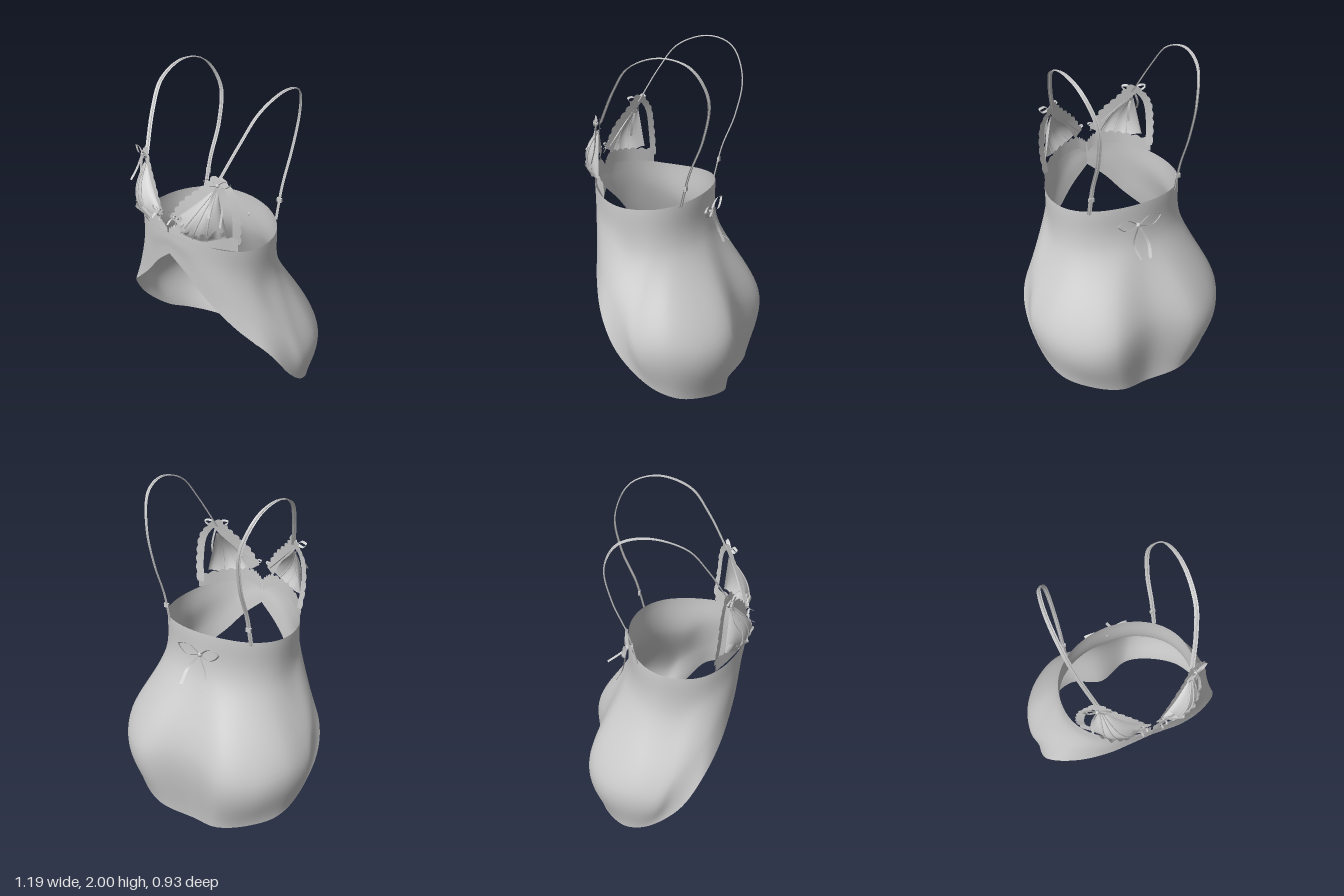
import * as THREE from 'three';
import { ParametricGeometry } from 'three/addons/geometries/ParametricGeometry.js';

const V = (p) => new THREE.Vector3(...p);
const cloth = new THREE.MeshStandardMaterial({ color: 0xcccccc, side: THREE.DoubleSide });
const curveOf = (pts) => new THREE.CatmullRomCurve3(pts.map(V));

function surface(name, fn, nu, nv) {
  const mesh = new THREE.Mesh(new ParametricGeometry(fn, nu, nv), cloth);
  mesh.name = name;
  return mesh;
}

// Flat strip along a path; its width runs along dir, with optional scalloped edge
function ribbon(name, pts, width, dir, scallops = 0) {
  const curve = curveOf(pts), d = V(dir).normalize();
  return surface(name, (u, v, t) => {
    const edge = scallops && v > 0.5 ? 0.75 + 0.35 * Math.abs(Math.sin(u * Math.PI * scallops)) : 1;
    t.copy(curve.getPoint(u)).addScaledVector(d, width * (v - 0.5) * edge);
  }, 64, 2);
}

function tube(name, pts, r) {
  const mesh = new THREE.Mesh(new THREE.TubeGeometry(curveOf(pts), 48, r, 6), cloth);
  mesh.name = name;
  return mesh;
}

// Bow with two loops, a knot and two uneven tails
function bow(name, size, width, tail) {
  const g = new THREE.Group();
  g.name = name;
  for (const s of [-1, 1]) {
    const loop = [[0, 0, 0], [0.5, 0.38, 0.06], [1, 0.3, 0.1], [0.6, -0.08, 0.12], [0, 0, 0.05]];
    g.add(ribbon('bowLoop', loop.map(([x, y, z]) => [s * x * size, y * size, z * size]), width, [0, 0.6, 0.8]));
    const long = s > 0 ? 1 : 0.7, lift = s > 0 ? 0.5 : 0.95;
    const end = [[0, 0, 0.03], [0.4, -0.6 * long, lift * 0.4], [0.35, -long, lift]];
    g.add(ribbon('bowTail', end.map(([x, y, z]) => [s * x * size, y * tail, z * size]), width, [1, 0, s * 0.5]));
  }
  const knot = new THREE.Mesh(new THREE.SphereGeometry(width * 0.8, 10, 8), cloth);
  knot.name = 'bowKnot';
  g.add(knot);
  return g;
}

// Hem and hip points of the skirt, front centre to back centre
const hem = [[0, 1.13, .415], [.11, 1.03, .395], [.22, .9, .365], [.38, .74, .3], [.53, .59, .2], [.58, .39, .07],
  [.55, .22, -.1], [.5, .15, -.23], [.36, .1, -.35], [.2, .06, -.41], [0, 0, -.36]];
const hip = [[0, 1.18, .42], [.12, 1.11, .4], [.24, 1, .36], [.365, .88, .285], [.465, .76, .195], [.545, .62, .07],
  [.592, .48, -.04], [.56, .47, -.21], [.44, .43, -.38], [.27, .45, -.465], [0, .5, -.415]];

// Oval rib from top edge through waist and hip to hem
function rib(i, s) {
  const a = (i / 10) * Math.PI, c = Math.cos(a);
  const x = 0.387 * Math.sin(a), z = 0.1 + 0.33 * (c > 0 ? c : -Math.pow(-c, 0.85));
  const y = 1.19 + (c > 0 ? 0.085 * c * c : 0.03 * c * c);
  const drop = Math.min(0.24, 0.3 * (y - hem[i][1]));
  return curveOf([[x, y, z], [x * 1.03, y - drop, z - 0.06 * drop], hip[i], hem[i]].map(([px, py, pz]) => [s * px, py, pz]));
}

// Open loop of ribs meeting in a sharp point at the front centre
function skirt() {
  const ribs = Array.from({ length: 21 }, (_, k) => (k <= 10 ? rib(k, -1) : rib(20 - k, 1)));
  const rows = new Map();
  const row = (v) => {
    if (!rows.has(v)) rows.set(v, new THREE.CatmullRomCurve3(ribs.map((c) => c.getPoint(v))));
    return rows.get(v);
  };
  return surface('skirt', (u, v, t) => {
    t.copy(row(v).getPoint(u));
    // soft folds at the flanks, fading towards the top
    const side = Math.pow(Math.sin(u * Math.PI * 2), 4);
    t.x *= 1 + 0.004 * side * v * Math.cos((u - 0.5) * 80 + v * 3);
  }, 120, 40);
}

// One cup with lace edges, seams, bow and shoulder strap; s = 1 left, -1 right
function cupSide(s) {
  const g = new THREE.Group();
  g.name = s > 0 ? 'leftCup' : 'rightCup';
  const m = (pts) => pts.map(([x, y, z]) => [s * x, y, z]);
  const base = curveOf(m([[.05, 1.37, .405], [.1, 1.31, .39], [.2, 1.285, .35], [.31, 1.31, .3]]));
  const apex = V([s * .255, 1.58, .32]), out = V([s * .35, 0, .93]);
  const cupPoint = (u, v, t, lift = 0) => {
    const bulge = 0.075 * Math.sqrt(Math.abs(Math.sin(Math.PI * u))) * Math.sin(Math.PI * (0.2 + 0.8 * v));
    const pleat = 0.003 * Math.cos(u * Math.PI * 6) * (1 - v);
    return t.copy(base.getPoint(u)).lerp(apex, v * 0.9).addScaledVector(out, bulge + pleat + lift);
  };
  const across = (u) => (s > 0 ? u : 1 - u);
  g.add(surface('cupPanel', (u, v, t) => cupPoint(across(u), v, t), 40, 20));
  for (const u of [.3, .52, .75]) {
    const pts = [0, .25, .5, .75, 1].map((v) => cupPoint(u, v, new THREE.Vector3(), .003).toArray());
    g.add(tube('cupSeam', pts, .004));
  }
  // ruffle across the lower cup
  g.add(surface('cupRuffle', (u, v, t) => {
    cupPoint(across(u), .05 + .16 * v, t, .004 + .008 * v + .006 * v * Math.sin(u * 40));
    t.y += .012 * v * Math.sin(u * 30);
  }, 60, 4));
  // lace edges
  g.add(ribbon('outerLace', m([[.255, 1.63, .3], [.325, 1.54, .28], [.345, 1.4, .27], [.335, 1.25, .255]]),
    .045, [s * .8, .15, -.4], 8));
  g.add(ribbon('innerLace', m([[.265, 1.63, .305], [.2, 1.55, .345], [.115, 1.46, .39], [.05, 1.35, .415]]),
    .07, [-s * .8, .5, .3], 8));
  g.add(ribbon('baseLace', m([[.005, 1.25, .418], [.06, 1.29, .415], [.2, 1.28, .37], [.345, 1.25, .255]]),
    .08, [0, 1, 0], 10));
  // bows at the apex and beside the centre
  const top = bow('apexBow', .07, .014, .22);
  top.position.set(s * .265, 1.6, .325);
  top.rotation.y = s * .4;
  const small = bow('centreBow', .04, .01, .05);
  small.position.set(s * .055, 1.38, .425);
  g.add(top, small);
  // shoulder strap over to the back, with a thicker core
  const strap = m([[.25, 1.6, .31], [.305, 1.8, .2], [.335, 1.93, .1], [.345, 1.993, -.08], [.325, 1.95, -.23],
    [.28, 1.79, -.31], [.265, 1.58, -.28], [.265, 1.38, -.205], [.267, 1.19, -.16]]);
  g.add(ribbon('shoulderStrap', strap, .024, [1, 0, s * .35]), tube('strapCore', strap, .004));
  const slider = new THREE.Mesh(new THREE.BoxGeometry(.03, .025, .012), cloth);
  slider.name = 'strapSlider';
  slider.position.set(s * .265, 1.3, -.187);
  g.add(slider);
  return g;
}

export function createModel() {
  const model = new THREE.Group();
  model.name = 'slipDress';
  model.add(skirt(), cupSide(1), cupSide(-1));
  const back = bow('backBow', .13, .018, .2);
  back.position.set(.01, 1.09, -.242);
  back.rotation.y = Math.PI;
  model.add(back);
  return model;
}
